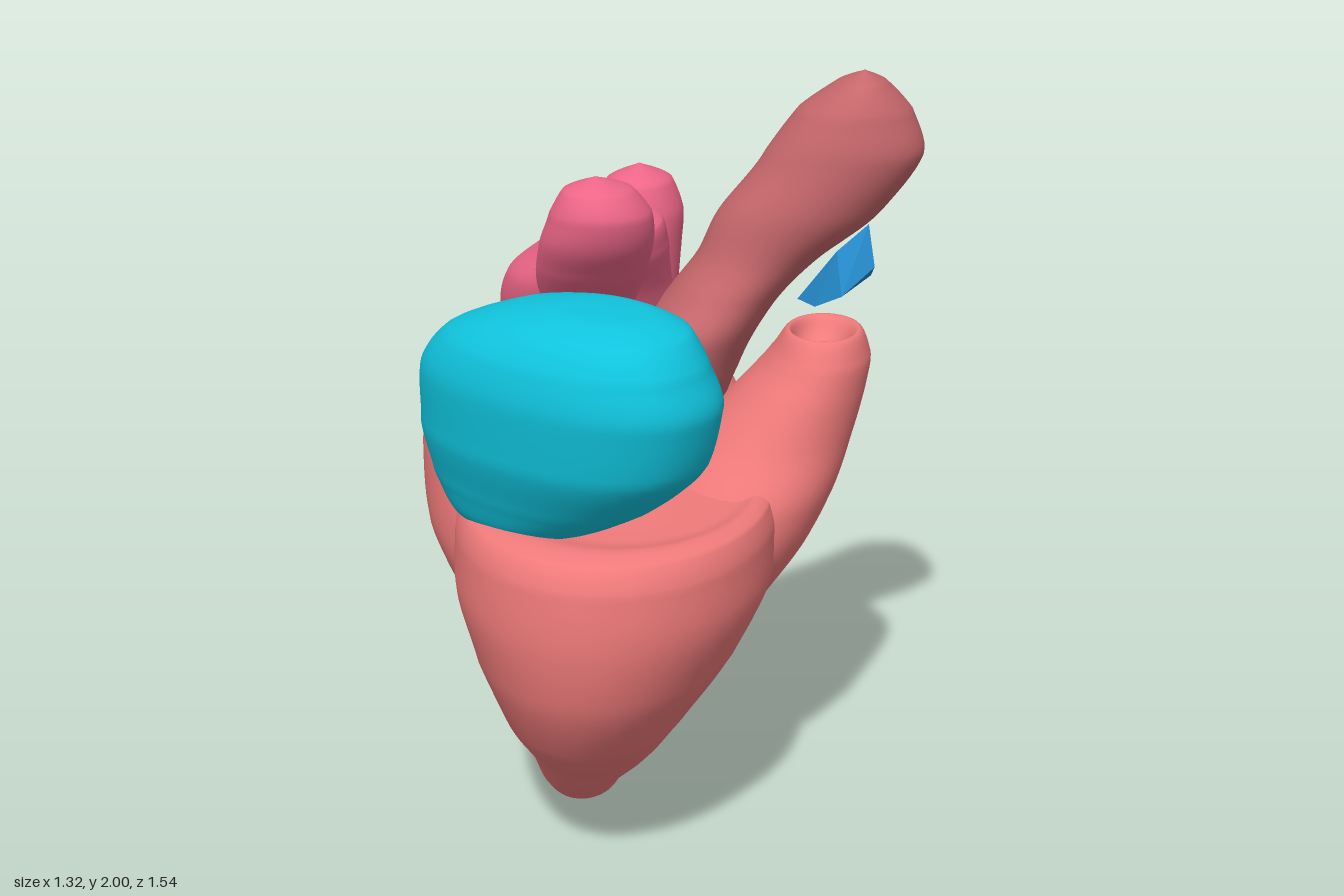
import * as THREE from 'three';
import { ConvexGeometry } from 'three/addons/geometries/ConvexGeometry.js';

const SIDES = 48;
const STEPS = 8;

// Smooth closed loft swept upward. Each row: [y, centre x, centre z, radius x, radius z, turn].
// A power below 1 makes the sections squarer.
function loft(rows, power = 1) {
  const centres = new THREE.CatmullRomCurve3(rows.map((r) => new THREE.Vector3(r[1], r[0], r[2])));
  const radii = new THREE.CatmullRomCurve3(rows.map((r) => new THREE.Vector3(r[3], r[4], r[5] || 0)));
  const rings = (rows.length - 1) * STEPS;
  const pos = [];
  const index = [];
  const bend = (n) => Math.sign(n) * Math.abs(n) ** power;
  for (let i = 0; i <= rings; i++) {
    const c = centres.getPoint(i / rings);
    const r = radii.getPoint(i / rings);
    const rx = Math.max(r.x, 0.001);
    const rz = Math.max(r.y, 0.001);
    for (let j = 0; j < SIDES; j++) {
      const a = (j / SIDES) * Math.PI * 2;
      const p = rx * bend(Math.cos(a));
      const q = rz * bend(Math.sin(a));
      pos.push(c.x + p * Math.cos(r.z) - q * Math.sin(r.z), c.y, c.z + p * Math.sin(r.z) + q * Math.cos(r.z));
      if (i === rings) continue;
      const k = (j + 1) % SIDES;
      const [A, B, C, D] = [i * SIDES + j, (i + 1) * SIDES + j, (i + 1) * SIDES + k, i * SIDES + k];
      index.push(A, B, C, A, C, D);
    }
  }
  const geometry = new THREE.BufferGeometry();
  geometry.setAttribute('position', new THREE.Float32BufferAttribute(pos, 3));
  geometry.setIndex(index);
  geometry.computeVertexNormals();
  return geometry;
}

export function createModel() {
  const model = new THREE.Group();
  model.name = 'heart';
  const add = (name, geometry, color) => {
    const mesh = new THREE.Mesh(geometry, new THREE.MeshStandardMaterial({ color }));
    mesh.name = name;
    model.add(mesh);
    return mesh;
  };
  const muscle = 0xf07a7a;
  const pink = 0xee6688;

  // Rear lobe, rounded over at the top
  add('rearVentricle', loft([
    [0.005, -0.18, -0.3, 0, 0],
    [0.03, -0.17, -0.29, 0.08, 0.12],
    [0.12, -0.14, -0.27, 0.16, 0.25],
    [0.3, -0.15, -0.25, 0.24, 0.39],
    [0.5, -0.17, -0.24, 0.35, 0.47],
    [0.75, -0.21, -0.26, 0.435, 0.5],
    [0.95, -0.215, -0.28, 0.445, 0.48],
    [1.08, -0.22, -0.29, 0.41, 0.43],
    [1.16, -0.22, -0.3, 0.32, 0.34],
    [1.2, -0.22, -0.31, 0.18, 0.22],
    [1.205, -0.22, -0.31, 0, 0],
  ]), muscle);

  // Front lobe, with a shallow dished top
  add('frontVentricle', loft([
    [0, -0.2, -0.03, 0, 0],
    [0.03, -0.19, 0, 0.08, 0.11],
    [0.12, -0.18, 0.04, 0.12, 0.2],
    [0.25, -0.14, 0.1, 0.18, 0.29],
    [0.4, -0.12, 0.15, 0.25, 0.42],
    [0.6, -0.09, 0.2, 0.34, 0.5],
    [0.8, -0.07, 0.23, 0.4, 0.51],
    [0.92, -0.065, 0.23, 0.4, 0.505],
    [0.985, -0.06, 0.23, 0.38, 0.47],
    [1.0, -0.05, 0.22, 0.34, 0.42],
    [0.985, -0.03, 0.22, 0.26, 0.32],
    [1.0, -0.03, 0.2, 0, 0],
  ]), muscle);

  // Left wall joining both lobes, rising into a cone with a cupped rim
  add('outflowCone', loft([
    [0.08, -0.12, -0.14, 0, 0],
    [0.25, -0.04, -0.12, 0.11, 0.22],
    [0.45, 0.02, -0.07, 0.155, 0.29],
    [0.6, 0.07, -0.03, 0.205, 0.31],
    [0.8, 0.15, 0.02, 0.25, 0.31],
    [0.95, 0.235, 0.02, 0.235, 0.27],
    [1.08, 0.31, -0.01, 0.2, 0.22],
    [1.2, 0.38, -0.035, 0.16, 0.2],
    [1.28, 0.42, -0.045, 0.13, 0.18],
    [1.35, 0.43, -0.03, 0.09, 0.12],
    [1.31, 0.42, -0.03, 0.06, 0.08],
    [1.25, 0.41, -0.03, 0, 0],
  ]), muscle);

  // Great artery, wide at its root and leaning up to the left
  add('greatArtery', loft([
    [1.06, 0.07, -0.1, 0, 0],
    [1.12, 0.07, -0.1, 0.1, 0.16],
    [1.22, 0.08, -0.11, 0.13, 0.215],
    [1.33, 0.115, -0.11, 0.145, 0.225],
    [1.43, 0.18, -0.1, 0.145, 0.185],
    [1.52, 0.255, -0.09, 0.155, 0.155],
    [1.65, 0.365, -0.08, 0.2, 0.16],
    [1.79, 0.465, -0.08, 0.195, 0.165],
    [1.9, 0.49, -0.08, 0.14, 0.15],
    [1.97, 0.505, -0.065, 0.06, 0.095],
    [2.0, 0.51, -0.05, 0, 0],
  ]), 0xc8686c);

  // Large front chamber, lying diagonally over the front lobe
  const turn = 0.63;
  add('frontAtrium', loft([
    [0.955, -0.32, 0.38, 0, 0, turn],
    [0.98, -0.28, 0.39, 0.19, 0.12, turn],
    [1.07, -0.22, 0.4, 0.32, 0.19, turn],
    [1.2, -0.17, 0.43, 0.405, 0.24, turn],
    [1.34, -0.15, 0.45, 0.42, 0.25, turn],
    [1.45, -0.13, 0.48, 0.36, 0.22, turn],
    [1.52, -0.08, 0.51, 0.25, 0.17, turn],
    [1.55, -0.05, 0.52, 0.12, 0.09, turn],
    [1.555, -0.04, 0.52, 0, 0, turn],
  ], 0.9), 0x10c4de);

  // Rear chamber: a broad body carrying two raised lobes
  add('rearAtriumBody', loft([
    [1.08, -0.2, -0.25, 0, 0],
    [1.13, -0.2, -0.27, 0.13, 0.14],
    [1.25, -0.2, -0.27, 0.21, 0.225],
    [1.35, -0.2, -0.22, 0.23, 0.26],
    [1.45, -0.185, -0.16, 0.21, 0.25],
    [1.53, -0.14, -0.11, 0.165, 0.24],
    [1.6, -0.11, -0.08, 0.12, 0.19],
    [1.63, -0.11, -0.08, 0, 0],
  ]), pink);
  add('rearAtriumFrontLobe', loft([
    [1.36, -0.17, 0, 0, 0],
    [1.42, -0.165, 0.01, 0.12, 0.1],
    [1.52, -0.145, 0.07, 0.14, 0.13],
    [1.6, -0.125, 0.125, 0.14, 0.135],
    [1.68, -0.11, 0.155, 0.125, 0.13],
    [1.74, -0.115, 0.165, 0.085, 0.095],
    [1.772, -0.12, 0.17, 0, 0],
  ]), pink);
  add('rearAtriumBackLobe', loft([
    [1.28, -0.12, -0.28, 0, 0],
    [1.36, -0.11, -0.28, 0.14, 0.15],
    [1.48, -0.09, -0.285, 0.13, 0.145],
    [1.58, -0.07, -0.285, 0.115, 0.13],
    [1.66, -0.07, -0.285, 0.085, 0.105],
    [1.7, -0.07, -0.285, 0, 0],
  ]), pink);

  // Small pointed vessel flap beside the artery
  const flap = [
    [0.53, 1.555, -0.28], [0.55, 1.46, -0.21], [0.47, 1.41, -0.1], [0.54, 1.42, -0.27],
    [0.35, 1.35, -0.27], [0.42, 1.34, -0.3], [0.4, 1.36, -0.17], [0.45, 1.49, -0.24],
  ];
  const vessel = add('vesselFlap', new ConvexGeometry(flap.map((p) => new THREE.Vector3(...p))), 0x2488c8);
  vessel.material.flatShading = true;

  return model;
}
